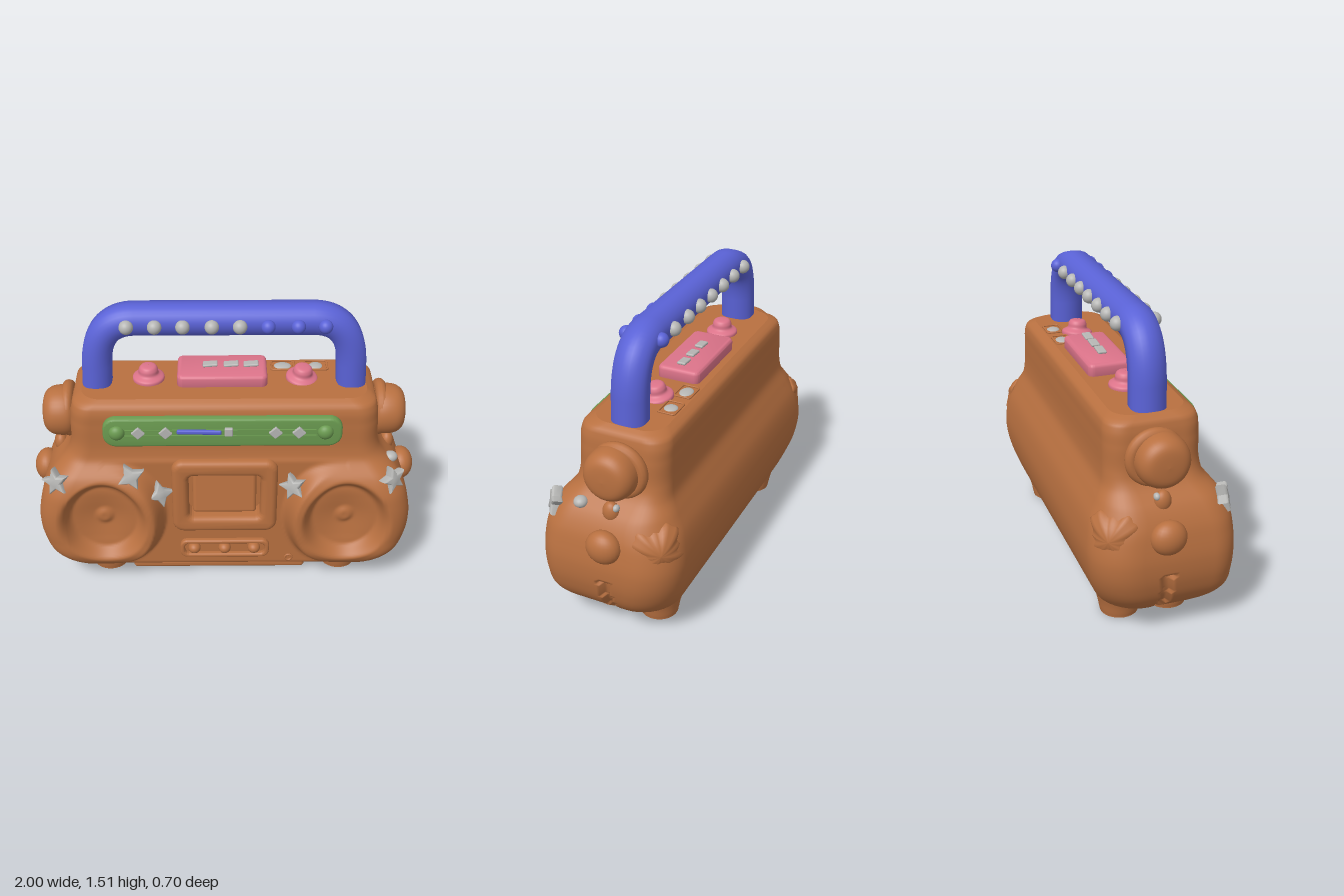
import * as THREE from 'three';
import { toCreasedNormals } from 'three/addons/utils/BufferGeometryUtils.js';
import { RoundedBoxGeometry } from 'three/addons/geometries/RoundedBoxGeometry.js';

const paint = (name, color) => Object.assign(new THREE.MeshStandardMaterial({ color }), { name });
const smooth = THREE.MathUtils.smoothstep;
const ZC = -0.015; // depth of the handle and side knobs

// Rounded rectangle outline, also usable as a hole
function roundRect(w, h, r, P = THREE.Shape) {
  const s = new P(), a = w / 2 - r, b = h / 2 - r;
  s.absarc(a, b, r, 0, Math.PI / 2);
  s.absarc(-a, b, r, Math.PI / 2, Math.PI);
  s.absarc(-a, -b, r, Math.PI, Math.PI * 1.5);
  s.absarc(a, -b, r, Math.PI * 1.5, Math.PI * 2);
  s.closePath();
  return s;
}

// Soft-edged plate whose back lies at z = 0
function plate(shape, depth, bevel) {
  const g = new THREE.ExtrudeGeometry(shape, {
    depth: depth - bevel, bevelSize: bevel, bevelThickness: bevel, bevelOffset: -bevel, bevelSegments: 4, curveSegments: 8,
  });
  return toCreasedNormals(g, 0.7);
}

function starShape(points, outer, inner) {
  const pts = [];
  for (let i = 0; i < points * 2; i++) {
    const a = Math.PI / 2 + i * Math.PI / points, r = i % 2 ? inner : outer;
    pts.push(new THREE.Vector2(Math.cos(a) * r, Math.sin(a) * r));
  }
  return new THREE.Shape(pts);
}

// Front surface: speaker lobes with dishes, and a flatter middle with a window
function frontZ(x, y, z) {
  const dx = Math.abs(x) - 0.62, dy = y - 0.42;
  const lobe = dx > 0 ? 1 : 1 - smooth(Math.hypot(dx / 0.27, dy / 0.31), 0.95, 1.2);
  z = THREE.MathUtils.lerp(Math.min(z, 0.24), z, lobe);
  const e = Math.hypot(dx / 0.22, dy / 0.24);
  z -= 0.075 * (1 - smooth(e, 0.75, 1.05)) + 0.03 * (1 - smooth(e, 0, 0.9));
  z += 0.018 * (1 - smooth(e, 0.08, 0.25));
  if (Math.abs(x) < 0.215 && y > 0.375 && y < 0.695) z = 0.17;
  return z;
}

// Body: rounded cross-sections stacked upwards
function bodyGeometry() {
  // height, half width, front z, back z
  const rows = [
    [0.02, 0.62, 0.17, -0.19], [0.06, 0.74, 0.22, -0.23], [0.12, 0.83, 0.295, -0.265], [0.2, 0.905, 0.342, -0.3],
    [0.3, 0.945, 0.348, -0.333], [0.42, 0.957, 0.35, -0.35], [0.52, 0.943, 0.347, -0.343], [0.6, 0.92, 0.335, -0.325],
    [0.68, 0.875, 0.3, -0.29], [0.75, 0.81, 0.24, -0.258], [0.8, 0.782, 0.226, -0.25], [0.95, 0.768, 0.22, -0.247],
    [1.03, 0.758, 0.215, -0.243], [1.06, 0.745, 0.2, -0.23], [1.08, 0.71, 0.165, -0.195],
  ];
  const profile = new THREE.CubicInterpolant(rows.map(r => r[0]), rows.flatMap(r => r.slice(1)), 3, new Float32Array(3));
  const pos = [], idx = [], N = 104;
  let count = 0;
  for (let i = 0; i <= N; i++) {
    const y = 0.02 + 1.06 * i / N, [hw, zf, zb] = profile.evaluate(y);
    const low = 1 - smooth(y, 0.6, 0.82), rf = 0.1 + 0.03 * low, rb = 0.1 + 0.1 * low;
    const ring = [];
    const line = (n, x0, z0, x1, z1) => {
      for (let k = 0; k < n; k++) ring.push([x0 + (x1 - x0) * k / n, z0 + (z1 - z0) * k / n]);
    };
    const arc = (cx, cz, r, a) => {
      for (let k = 0; k < 10; k++) {
        const t = a + k / 10 * Math.PI / 2;
        ring.push([cx + Math.cos(t) * r, cz - Math.sin(t) * r]);
      }
    };
    line(140, -hw + rf, zf, hw - rf, zf);
    arc(hw - rf, zf - rf, rf, -Math.PI / 2);
    line(24, hw, zf - rf, hw, zb + rb);
    arc(hw - rb, zb + rb, rb, 0);
    line(24, hw - rb, zb, -hw + rb, zb);
    arc(-hw + rb, zb + rb, rb, Math.PI / 2);
    line(24, -hw, zb + rb, -hw, zf - rf);
    arc(-hw + rf, zf - rf, rf, Math.PI);
    count = ring.length;
    for (let [x, z] of ring) {
      if (z > zf - 0.03) z = Math.min(z, frontZ(x, y, z));
      // seam groove on both ends
      if (Math.abs(x) > hw - 0.01 && Math.abs(z - ZC) < 0.024 && y < 0.36) x -= Math.sign(x) * 0.03;
      pos.push(x, y, z);
    }
  }
  for (let i = 0; i < N; i++) for (let j = 0; j < count; j++) {
    const k = (j + 1) % count, a = i * count + j, b = i * count + k;
    idx.push(a, b, b + count, a, b + count, a + count);
  }
  // flat top and bottom caps with their own corners
  for (const row of [0, N]) {
    const start = pos.length / 3;
    for (let j = 0; j < count * 3; j++) pos.push(pos[row * count * 3 + j]);
    pos.push(0, row ? 1.08 : 0.02, 0);
    for (let j = 0; j < count; j++) {
      const a = start + j, b = start + (j + 1) % count;
      row ? idx.push(start + count, a, b) : idx.push(start + count, b, a);
    }
  }
  const g = new THREE.BufferGeometry();
  g.setAttribute('position', new THREE.Float32BufferAttribute(pos, 3));
  g.setIndex(idx);
  g.computeVertexNormals();
  return g;
}

// Handle: a bent tube with a squarish section
function handleGeometry() {
  const path = new THREE.CurvePath(), v = (x, y) => new THREE.Vector3(x, y, 0);
  path.add(new THREE.LineCurve3(v(-0.637, 1.05), v(-0.63, 1.2)));
  path.add(new THREE.CubicBezierCurve3(v(-0.63, 1.2), v(-0.62, 1.35), v(-0.56, 1.432), v(-0.43, 1.432)));
  path.add(new THREE.LineCurve3(v(-0.43, 1.432), v(0.43, 1.432)));
  path.add(new THREE.CubicBezierCurve3(v(0.43, 1.432), v(0.56, 1.432), v(0.62, 1.35), v(0.63, 1.2)));
  path.add(new THREE.LineCurve3(v(0.63, 1.2), v(0.637, 1.05)));
  const g = new THREE.TubeGeometry(path, 90, 0.074, 28);
  const p = g.attributes.position, n = g.attributes.normal;
  for (let i = 0; i < p.count; i++) {
    const c = Math.abs(n.getZ(i)), s = Math.sqrt(Math.max(0, 1 - c * c));
    const grow = 0.074 * (Math.pow(c ** 3 + s ** 3, -1 / 3) - 1);
    p.setXYZ(i, p.getX(i) + n.getX(i) * grow, p.getY(i) + n.getY(i) * grow, (p.getZ(i) + n.getZ(i) * grow) * 1.14);
  }
  return g;
}

// Pillow-like patch with a wavy square edge
function patchGeometry() {
  const g = new THREE.SphereGeometry(1, 48, 16).rotateX(Math.PI / 2), p = g.attributes.position;
  for (let i = 0; i < p.count; i++) {
    const x = p.getX(i), y = p.getY(i), a = Math.atan2(y, x), r = Math.hypot(x, y);
    const k = 0.125 * (1 - 0.12 * Math.cos(4 * a) + 0.05 * Math.cos(12 * a));
    p.setXYZ(i, x * k, y * k, p.getZ(i) * 0.03 - 0.045 * r * r);
  }
  g.computeVertexNormals();
  return g;
}

export function createModel() {
  const model = new THREE.Group();
  model.name = 'portableStereo';
  const brown = paint('clay brown', 0xb87040), blue = paint('handle blue', 0x5a62d6), pink = paint('button pink', 0xdb7389);
  const green = paint('tuner green', 0x6a9a50), silver = paint('silver', 0xb6b6b4);
  const add = (name, geo, mat, x, y, z, rx = 0, ry = 0, rz = 0) => {
    const m = new THREE.Mesh(geo, mat);
    m.name = name;
    m.position.set(x, y, z);
    m.rotation.set(rx, ry, rz);
    model.add(m);
    return m;
  };
  const lathe = pts => new THREE.LatheGeometry(new THREE.SplineCurve(pts.map(p => new THREE.Vector2(...p))).getPoints(24), 36);
  const ball = new THREE.SphereGeometry(1, 24, 16);
  const stud = (name, mat, x, y, z, sx, sy = sx, sz = sx) => add(name, ball, mat, x, y, z).scale.set(sx, sy, sz);

  add('body', bodyGeometry(), brown, 0, 0, 0);

  // Feet, end knobs and back patches
  const foot = lathe([[0.001, 0], [0.085, 0], [0.096, 0.01], [0.108, 0.07], [0.13, 0.15]]);
  const bigKnob = lathe([[0.1, 0], [0.125, 0.03], [0.13, 0.08], [0.118, 0.13], [0.08, 0.162], [0.001, 0.17]]);
  const patch = patchGeometry();
  for (const s of [-1, 1]) {
    for (const z of [0.11, -0.14]) add('foot', foot, brown, s * 0.62, 0, z);
    add('sideKnob', bigKnob, brown, s * 0.755, 0.9, ZC, 0, 0, -s * Math.PI / 2);
    add('sideKnobCollar', new THREE.TorusGeometry(0.115, 0.03, 12, 36), brown, s * 0.795, 0.9, ZC - 0.02, 0, Math.PI / 2);
    stud('sideButton', brown, s * 0.935, 0.555, ZC, 0.065, 0.085, 0.088);
    stud('sideTab', brown, s * 0.85, 0.7, ZC, 0.035, 0.055, 0.042);
    add('patch', patch, brown, s * 0.865, 0.55, -0.268, 0.12, Math.PI - s * 0.85, 0.1);
    stud('sideStud', silver, s * 0.855, 0.73, -0.045, 0.02, 0.018, 0.016);
  }
  stud('sideStud', silver, 0.85, 0.71, 0.145, 0.035, 0.028, 0.034);

  // Cassette door frame with a sloped ledge inside
  const frame = roundRect(0.54, 0.45, 0.06);
  frame.holes.push(roundRect(0.37, 0.27, 0.03, THREE.Path));
  add('doorFrame', plate(frame, 0.12, 0.03), brown, 0, 0.54, 0.155);
  add('doorLedge', new RoundedBoxGeometry(0.33, 0.24, 0.05, 3, 0.02), brown, 0, 0.515, 0.175, -0.15);

  // Key panel under the door
  const rim = roundRect(0.47, 0.115, 0.04);
  rim.holes.push(roundRect(0.42, 0.07, 0.025, THREE.Path));
  add('keyPanelRim', plate(rim, 0.05, 0.01), brown, 0, 0.19, 0.215);
  for (const x of [-0.16, 0, 0.155]) stud('key', brown, x, 0.192, 0.25, 0.033, 0.03, 0.035);
  add('socket', new THREE.TorusGeometry(0.018, 0.006, 8, 20), brown, 0.34, 0.13, 0.262);
  add('lowerLip', new RoundedBoxGeometry(0.92, 0.05, 0.08, 3, 0.02), brown, -0.03, 0.045, 0.18);

  // Tuner strip
  add('tunerPlate', plate(roundRect(1.18, 0.165, 0.065), 0.045, 0.014), green, -0.01, 0.935, 0.208);
  for (const x of [-0.53, 0.495]) stud('tunerKnob', green, x, 0.94, 0.25, 0.04, 0.04, 0.032);
  for (const y of [0.922, 0.955]) add('tunerRail', new THREE.BoxGeometry(0.94, 0.007, 0.008), green, -0.02, y, 0.256);
  add('tunerBar', new RoundedBoxGeometry(0.22, 0.024, 0.02, 2, 0.008), blue, -0.125, 0.948, 0.26, 0, 0, -0.02);
  add('tunerPointer', new RoundedBoxGeometry(0.04, 0.045, 0.02, 2, 0.005), silver, 0.02, 0.948, 0.26);
  for (const x of [-0.425, -0.29, 0.25, 0.365])
    add('tunerMark', new RoundedBoxGeometry(0.05, 0.05, 0.016, 2, 0.005), silver, x, 0.943, 0.261, 0, 0, 0.75);

  // Star ornaments: x, y, z, points, turn about y, roll
  const stars = [[-0.84, 0.665, 0.275, 5, -0.4, 0.2], [-0.47, 0.69, 0.27, 4, 0, 0.5], [-0.335, 0.565, 0.25, 4, 0.4, 0.2],
    [0.355, 0.615, 0.26, 5, -0.5, 0.3], [0.835, 0.67, 0.275, 5, 0.6, 0.3]];
  for (const [x, y, z, n, turn, roll] of stars)
    add('star', plate(starShape(n, 0.075, 0.035), 0.04, 0.012), silver, x, y, z, -0.25, turn, roll);

  // Handle with studs on both faces
  add('handle', handleGeometry(), blue, 0, 0, ZC);
  [-0.47, -0.335, -0.2, -0.06, 0.075, 0.21, 0.355, 0.485].forEach((x, i) => {
    stud('handleStud', i < 5 ? silver : blue, x, 1.43, 0.075, 0.035);
    stud('handleStud', i < 7 ? silver : blue, x, 1.43, -0.103, 0.035);
  });

  // Top controls
  const padShape = roundRect(0.45, 0.22, 0.03);
  add('topPad', plate(padShape, 0.065, 0.018), pink, -0.01, 1.075, -0.05, -Math.PI / 2);
  for (const x of [-0.07, 0.035, 0.135])
    add('padKey', new RoundedBoxGeometry(0.075, 0.014, 0.045, 2, 0.006), silver, x, 1.149, -0.05, 0, 0, 0.08);
  const dial = lathe([[0.08, 0], [0.078, 0.02], [0.052, 0.036], [0.048, 0.06], [0.035, 0.078], [0.001, 0.082]]);
  add('topDial', dial, pink, -0.38, 1.075, -0.03);
  add('topDial', dial, pink, 0.39, 1.07, -0.03, 0.1, 0, -0.1);
  for (const x of [0.3, 0.47]) {
    const well = roundRect(0.125, 0.095, 0.015);
    well.holes.push(roundRect(0.105, 0.075, 0.01, THREE.Path));
    add('wellRim', plate(well, 0.012, 0.003), brown, x, 1.075, -0.14, -Math.PI / 2);
    stud('wellStud', silver, x, 1.078, -0.14, x < 0.4 ? 0.045 : 0.035, 0.012, 0.034);
  }
  return model;
}
